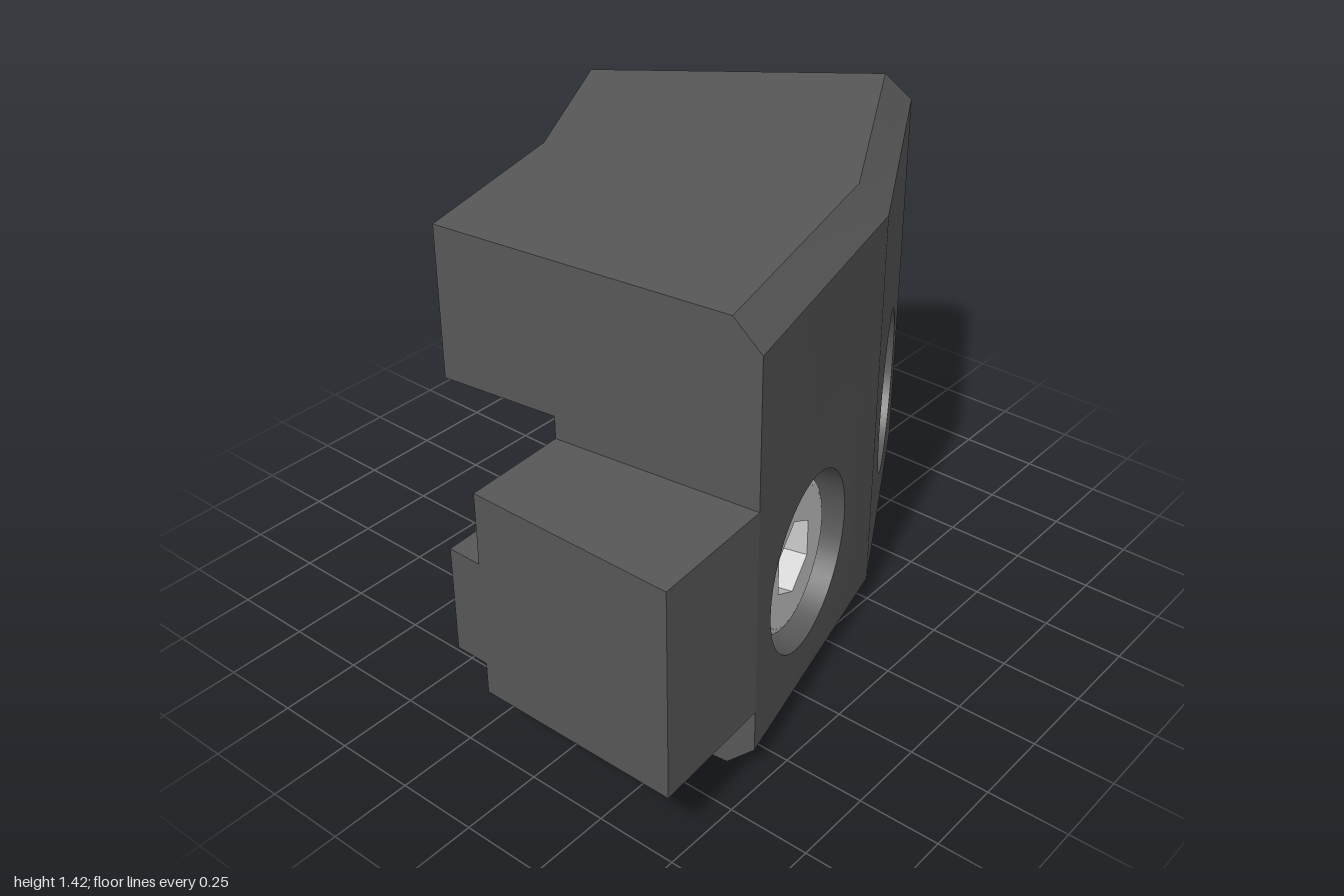
import * as THREE from 'three';
import { toCreasedNormals } from 'three/addons/utils/BufferGeometryUtils.js';

const V = (x, y, z) => new THREE.Vector3(x, y, z);

// Plan lines [front x, front z, back x, back z] of the cross-sections, from right-hand end to tongue end
const END = [1, 0.07, 0.38, -0.74];
const BEND = [0.24, 0.5, -0.14, -0.45];
const SIDE = [-0.6, 0.71, -0.72, -0.3];
const TIP = [-1, 0.74, -1, -0.29];

// Point on a cross-section: t runs 0 (front) to 1 (back)
const at = (s, t, y) => V(s[0] + (s[2] - s[0]) * t, y, s[1] + (s[3] - s[1]) * t);
// Vertical plane joining two cross-sections at depth t
const planeAt = (a, b, t) => new THREE.Plane().setFromCoplanarPoints(at(a, t, 0), at(a, t, 1), at(b, t, 0));

// Cross-section profiles [t, y]
const CH = 0.086, LOW = 0.63, RIB = 0.735;
const rib = [[LOW, 0.655], [RIB, 0.655], [RIB, 0.32], [LOW, 0.32]];
const bodyProfile = [[0, 0.085], [0, 1.335], [CH, 1.42], [1, 1.42], [1, 0.95], [LOW, 0.95], ...rib, [LOW, 0], [CH, 0]];
const tongueProfile = [[0, 0.22], [0, 0.88], [LOW, 0.88], ...rib, [LOW, 0.22]];

// Adds a planar polygon (counter-clockwise from outside), optionally with holes
function addFace(out, pts, holes = []) {
  const n = V(0, 0, 0);
  pts.forEach((p, i) => n.add(p.clone().cross(pts[(i + 1) % pts.length])));
  n.normalize();
  const u = pts[1].clone().sub(pts[0]).normalize();
  const v = n.clone().cross(u);
  const flat = (l) => l.map((p) => new THREE.Vector2(p.dot(u), p.dot(v)));
  const all = [pts, ...holes].flat();
  for (const tri of THREE.ShapeUtils.triangulateShape(flat(pts), holes.map(flat)))
    for (const i of tri) out.push(...all[i].toArray());
}

// Circle about axis d at c, slid along the axis onto a plane if one is given
function ring(c, d, r, plane) {
  const side = V(d.z, 0, -d.x);
  return Array.from({ length: 40 }, (_, i) => {
    const a = (i / 40) * Math.PI * 2;
    const p = c.clone().addScaledVector(side, r * Math.cos(a));
    p.y += r * Math.sin(a);
    if (plane) p.addScaledVector(d, -plane.distanceToPoint(p) / plane.normal.dot(d));
    return p;
  });
}

// Walls of a bore through successive rings, facing inwards
function addBore(out, rings) {
  for (let k = 0; k + 1 < rings.length; k++) {
    const [a, b] = [rings[k], rings[k + 1]];
    a.forEach((p, i) => {
      const j = (i + 1) % a.length;
      addFace(out, [p, a[j], b[j], b[i]]);
    });
  }
}

// Skin between two cross-sections; holes maps a profile edge index to its holes
function addSpan(out, profile, a, b, holes = {}) {
  profile.forEach(([t, y], i) => {
    const [t2, y2] = profile[(i + 1) % profile.length];
    addFace(out, [at(a, t, y), at(a, t2, y2), at(b, t2, y2), at(b, t, y)], holes[i]);
  });
}

function toMesh(name, out, material) {
  const g = new THREE.BufferGeometry();
  g.setAttribute('position', new THREE.Float32BufferAttribute(out, 3));
  const mesh = new THREE.Mesh(toCreasedNormals(g, 0.6), material);
  mesh.name = name;
  return mesh;
}

// Socket-head bolt: head top at position, facing direction d
function makeBolt(name, pos, d, r, hexR, height, material) {
  const g = new THREE.Group();
  g.name = name;
  const add = (part, geo) => {
    const m = new THREE.Mesh(geo, material);
    m.name = part;
    g.add(m);
  };
  const round = r * 0.1;
  const profile = [new THREE.Vector2(r, -height)];
  for (let i = 0; i <= 6; i++) {
    const a = (i / 6) * Math.PI / 2;
    profile.push(new THREE.Vector2(r - round + round * Math.cos(a), -round + round * Math.sin(a)));
  }
  add('boltSide', new THREE.LatheGeometry(profile, 48).rotateX(Math.PI / 2));

  const hex = Array.from({ length: 6 }, (_, i) => {
    const a = Math.PI / 2 + (i * Math.PI) / 3;
    return V(hexR * Math.cos(a), hexR * Math.sin(a), 0);
  });
  const floor = hex.map((p) => p.clone().setZ(-hexR * 0.65));
  const out = [];
  addFace(out, ring(V(0, 0, 0), V(0, 0, 1), r - round), [hex]);
  addBore(out, [hex, floor]);
  addFace(out, floor);
  g.add(toMesh('boltSocket', out, material));

  g.position.copy(pos);
  g.rotation.y = Math.atan2(d.x, d.z);
  return g;
}

export function createModel() {
  const model = new THREE.Group();
  model.name = 'clampBlock';
  const dark = new THREE.MeshStandardMaterial({ color: 0x575757 });
  const steel = new THREE.MeshStandardMaterial({ color: 0xcccccc });
  const body = [];

  // Two mitred halves, each with a counterbored hole running through to the rear rib
  const halves = [
    { name: 'rightBolt', a: END, b: BEND, x: 0.655, z: 0.265 },
    { name: 'leftBolt', a: BEND, b: SIDE, x: -0.25, z: 0.625 },
  ];
  for (const { name, a, b, x, z } of halves) {
    const d = V(b[1] - a[1], 0, a[0] - b[0]).normalize();
    const c = V(x, 0.487, z);
    const deep = c.clone().addScaledVector(d, -0.27);
    const front = ring(c, d, 0.27, planeAt(a, b, 0));
    const back = ring(c, d, 0.14, planeAt(a, b, RIB));
    addSpan(body, bodyProfile, a, b, { 0: [front], 7: [back] });
    addBore(body, [front, ring(deep, d, 0.27), ring(deep, d, 0.14), back]);
    model.add(makeBolt(name, c.clone().addScaledVector(d, -0.05), d, 0.232, 0.12, 0.22, steel));
  }

  // End caps; the slanted one has an oblique blind bore for the end bolt
  const axis = V(0.993, 0, -0.12).normalize();
  const head = V(0.65, 1.187, -0.13);
  const mouth = ring(head, axis, 0.22, planeAt([END[0], END[1], 0, 0], [END[2], END[3], 0, 0], 0));
  const pit = ring(head.clone().addScaledVector(axis, -0.17), axis, 0.22);
  addFace(body, bodyProfile.map(([t, y]) => at(END, t, y)).reverse(), [mouth]);
  addBore(body, [mouth, pit]);
  addFace(body, pit);
  addFace(body, bodyProfile.map(([t, y]) => at(SIDE, t, y)));
  model.add(toMesh('body', body, dark));
  model.add(makeBolt('endBolt', head, axis, 0.168, 0.095, 0.17, steel));

  // Tongue continuing the rear rib past the side face
  const tongue = [];
  addSpan(tongue, tongueProfile, SIDE, TIP);
  addFace(tongue, tongueProfile.map(([t, y]) => at(TIP, t, y)));
  model.add(toMesh('tongue', tongue, dark));

  return model;
}
